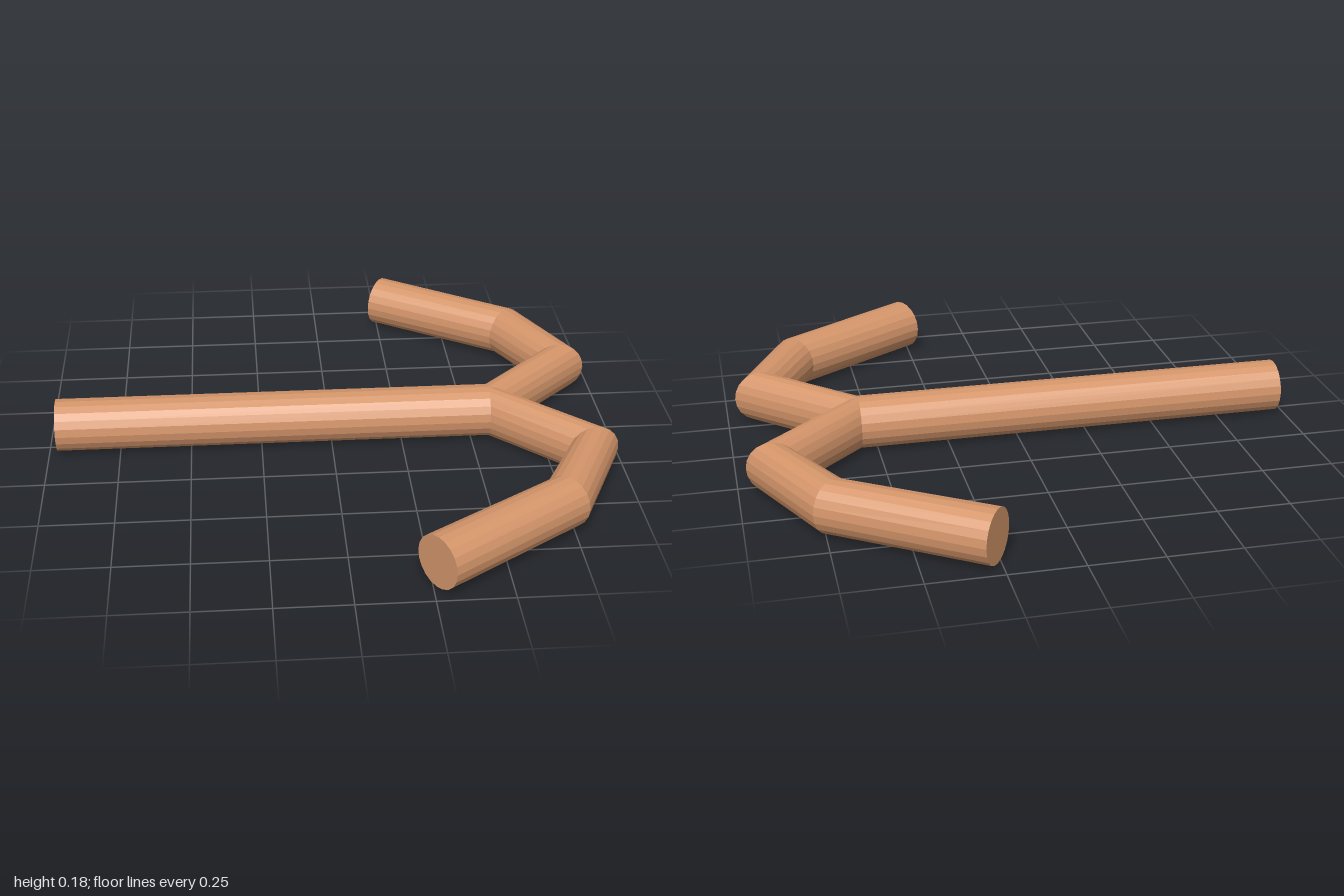
import * as THREE from 'three';

const RADIUS = 0.092;
const SIDES = 20;

// Tube lofted through upright elliptical rings, each given by its two plan points [x, z]:
// the left and right edge as seen travelling along the tube.
function loftTube(rings, capStart, capEnd) {
  const pos = [];
  const center = ([a, b]) => new THREE.Vector3((a[0] + b[0]) / 2, RADIUS, (a[1] + b[1]) / 2);
  const point = ([a, b], k) => {
    const t = ((k % SIDES) / SIDES) * Math.PI * 2;
    const c = Math.cos(t) / 2;
    return center([a, b]).add(
      new THREE.Vector3((b[0] - a[0]) * c, Math.sin(t) * RADIUS, (b[1] - a[1]) * c));
  };
  const tri = (...pts) => pts.forEach((p) => pos.push(p.x, p.y, p.z));
  const first = rings[0];
  const last = rings[rings.length - 1];

  for (let k = 0; k < SIDES; k++) {
    for (let i = 0; i < rings.length - 1; i++) {
      const p0 = point(rings[i], k), p1 = point(rings[i], k + 1);
      const q0 = point(rings[i + 1], k), q1 = point(rings[i + 1], k + 1);
      tri(p0, p1, q0);
      tri(p1, q1, q0);
    }
    if (capStart) tri(center(first), point(first, k + 1), point(first, k));
    if (capEnd) tri(center(last), point(last, k), point(last, k + 1));
  }
  const geometry = new THREE.BufferGeometry();
  geometry.setAttribute('position', new THREE.Float32BufferAttribute(pos, 3));
  geometry.computeVertexNormals();
  return geometry;
}

export function createModel() {
  const group = new THREE.Group();
  group.name = 'forkedRod';
  const material = new THREE.MeshStandardMaterial({ color: 0xd4956a, flatShading: true });
  const add = (name, geometry) => {
    const mesh = new THREE.Mesh(geometry, material);
    mesh.name = name;
    group.add(mesh);
  };

  // Straight shaft; its end ring is also where both arms begin
  const joint = [[0.56, RADIUS], [0.56, -RADIUS]];
  add('shaft', loftTube([[[-0.97, RADIUS], [-0.97, -RADIUS]], joint], true, false));

  // Curled arms: inner and outer edge at each bend
  const armRings = [
    joint,
    [[0.79, 0.318], [0.97, 0.293]],
    [[0.66, 0.56], [0.79, 0.673]],
    [[0.21, 0.85], [0.312, 1.0]],
  ];
  const mirrored = armRings.map(([a, b]) => [[b[0], -b[1]], [a[0], -a[1]]]);
  add('frontArm', loftTube(armRings, false, true));
  add('backArm', loftTube(mirrored, false, true));

  return group;
}
